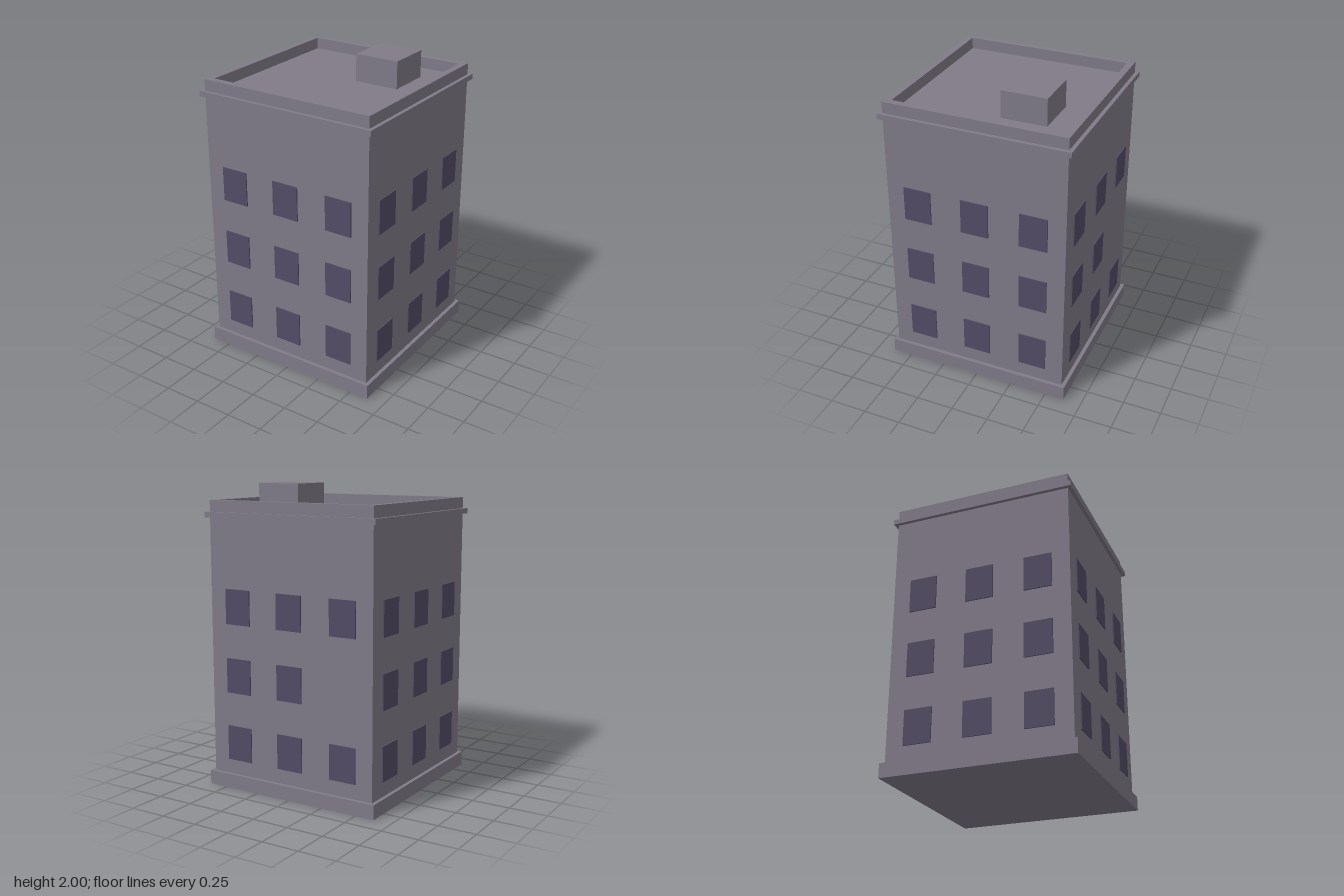
import * as THREE from 'three';

const wallMat = new THREE.MeshStandardMaterial({ color: 0x807b88 });
wallMat.name = 'grey wall';
const glassMat = new THREE.MeshStandardMaterial({ color: 0x524c65 });
glassMat.name = 'dark window';

function addBox(parent, name, mat, size, pos) {
  const mesh = new THREE.Mesh(new THREE.BoxGeometry(...size), mat);
  mesh.name = name;
  mesh.position.set(...pos);
  parent.add(mesh);
  return mesh;
}

// Square ring lying flat, from y0 up to y1
function addRing(parent, name, outer, inner, y0, y1) {
  const square = (T, r) => new T([[-r, -r], [r, -r], [r, r], [-r, r]].map(p => new THREE.Vector2(...p)));
  const shape = square(THREE.Shape, outer);
  shape.holes.push(square(THREE.Path, inner));
  const geo = new THREE.ExtrudeGeometry(shape, { depth: y1 - y0, bevelEnabled: false });
  geo.rotateX(-Math.PI / 2);
  const mesh = new THREE.Mesh(geo, wallMat);
  mesh.name = name;
  mesh.position.y = y0;
  parent.add(mesh);
}

export function createModel() {
  const building = new THREE.Group();
  building.name = 'building';
  const half = 0.605, roofY = 1.82;

  // Main masses
  addBox(building, 'base', wallMat, [1.26, 0.095, 1.26], [0, 0.0475, 0]);
  addBox(building, 'walls', wallMat, [half * 2, roofY - 0.095, half * 2], [0, (roofY + 0.095) / 2, 0]);
  addRing(building, 'cornice', 0.63, half, 1.785, 1.82);
  addRing(building, 'parapet', half, 0.56, roofY, 1.895);
  addBox(building, 'roofHut', wallMat, [0.302, 2 - roofY, 0.302], [0.227, (2 + roofY) / 2, -0.229]);

  // Windows: three by three on each side, one left blank at the back
  ['front', 'left', 'back', 'right'].forEach((side, s) => {
    const facade = new THREE.Group();
    facade.name = side + 'Windows';
    facade.rotation.y = s * Math.PI / 2;
    for (let row = 0; row < 3; row++) {
      for (let col = 0; col < 3; col++) {
        if (side === 'back' && row === 1 && col === 2) continue;
        addBox(facade, 'window', glassMat, [0.186, 0.23, 0.008],
          [(col - 1) * 0.394, 0.308 + row * 0.454, half + 0.004]);
      }
    }
    building.add(facade);
  });

  return building;
}
